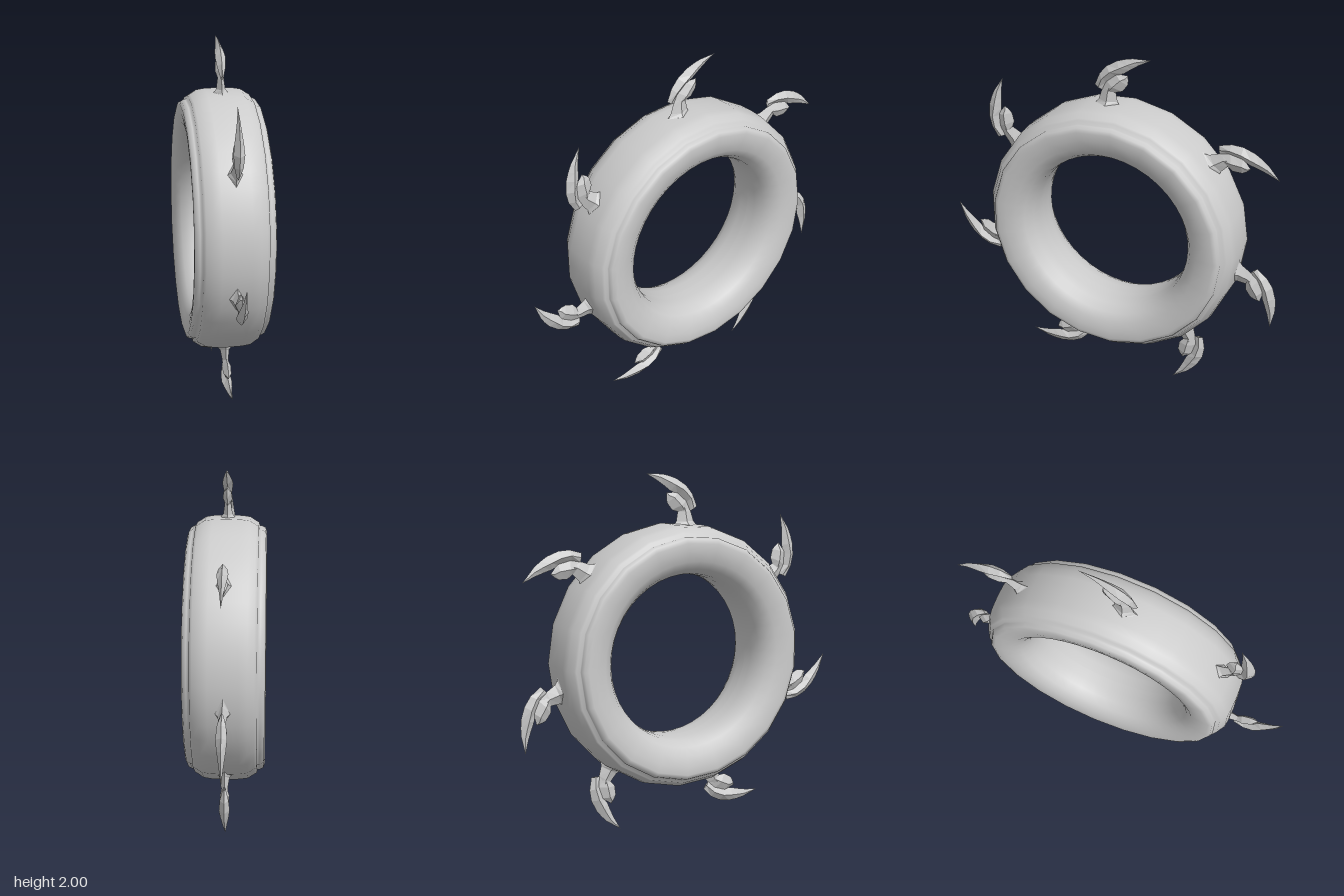
import * as THREE from 'three';

const SEGMENTS = 21;
const smooth = new THREE.MeshStandardMaterial({ color: 0xcccccc, side: THREE.DoubleSide });
const faceted = new THREE.MeshStandardMaterial({ color: 0xcccccc, flatShading: true, side: THREE.DoubleSide });

// Half of the ring section: [radius, distance from the middle], bore to tread
const HALF = [
  [0.465, 0], [0.466, 0.06], [0.475, 0.12], [0.505, 0.17], [0.55, 0.202], [0.61, 0.214],
  [0.655, 0.218], [0.678, 0.21], [0.688, 0.19], [0.688, 0.178], [0.708, 0.174], [0.715, 0.16],
  [0.738, 0.125], [0.745, 0.08], [0.748, 0],
];

function makeRing() {
  const down = HALF.map(([r, h]) => new THREE.Vector2(r, -h));
  const up = HALF.slice(0, -1).reverse().map(([r, h]) => new THREE.Vector2(r, h));
  const geometry = new THREE.LatheGeometry([...down, ...up], SEGMENTS * 2);
  // Pull every second row in to the chord, keeping the coarse outer outline;
  // the bore stays rounder
  const p = geometry.attributes.position;
  const rows = HALF.length * 2 - 1;
  for (let i = 0; i < p.count; i++) {
    if (Math.floor(i / rows) % 2 === 0) continue;
    const r = Math.hypot(p.getX(i), p.getZ(i));
    const k = r > 0.6 ? Math.cos(Math.PI / SEGMENTS) : 1;
    p.setX(i, p.getX(i) * k);
    p.setZ(i, p.getZ(i) * k);
  }
  geometry.rotateZ(Math.PI / 2);
  const ring = new THREE.Mesh(geometry, smooth);
  ring.name = 'ring';
  ring.rotation.x = Math.PI / SEGMENTS;
  return ring;
}

// Loft of diamond sections: [outer a, outer b, inner a, inner b, half thickness],
// a runs along the ring (towards -z), b runs away from its centre
function loft(name, sections) {
  const pos = [], index = [];
  sections.forEach(([oa, ob, ia, ib, t], i) => {
    const ma = (oa + ia) / 2, mb = (ob + ib) / 2;
    pos.push(0, ob, -oa, t, mb, -ma, 0, ib, -ia, -t, mb, -ma);
    if (i === 0) return;
    for (let j = 0; j < 4; j++) {
      const a = (i - 1) * 4 + j, b = (i - 1) * 4 + (j + 1) % 4;
      index.push(a, b, b + 4, a, b + 4, a + 4);
    }
  });
  const geometry = new THREE.BufferGeometry();
  geometry.setAttribute('position', new THREE.Float32BufferAttribute(pos, 3));
  geometry.setIndex(index);
  geometry.computeVertexNormals();
  const mesh = new THREE.Mesh(geometry, faceted);
  mesh.name = name;
  return mesh;
}

function makeClaw() {
  const claw = new THREE.Group();
  claw.name = 'claw';
  claw.add(
    // Stem flaring into the tread
    loft('clawStem', [
      [-0.22, 0.70, 0.11, 0.71, 0.09],
      [-0.125, 0.735, 0.015, 0.738, 0.04],
      [-0.108, 0.755, 0.003, 0.755, 0.026],
      [-0.09, 0.81, -0.006, 0.81, 0.018],
      [-0.07, 0.835, -0.01, 0.83, 0.018],
    ]),
    // Long curved blade
    loft('clawBlade', [
      [-0.13, 0.836, -0.086, 0.81, 0.008],
      [-0.102, 0.905, -0.06, 0.86, 0.024],
      [-0.06, 0.954, -0.005, 0.905, 0.03],
      [0, 0.992, 0.04, 0.925, 0.024],
      [0.045, 1.008, 0.078, 0.953, 0.017],
      [0.09, 1.019, 0.125, 0.985, 0.01],
      [0.195, 1.024, 0.195, 1.024, 0],
    ]),
    // Short inner lobe
    loft('clawLobe', [
      [-0.088, 0.812, -0.008, 0.808, 0.014],
      [-0.064, 0.87, 0.03, 0.82, 0.026],
      [-0.01, 0.918, 0.062, 0.86, 0.022],
      [0.04, 0.917, 0.066, 0.885, 0.01],
      [0.064, 0.917, 0.064, 0.917, 0],
    ]),
  );
  return claw;
}

export function createModel() {
  const model = new THREE.Group();
  model.name = 'clawedRing';
  model.add(makeRing());
  // Seven claws, the last gap slightly narrower
  for (let i = 0; i < 7; i++) {
    const claw = makeClaw();
    claw.rotation.x = -THREE.MathUtils.degToRad(148.6 + 52.8 * i);
    model.add(claw);
  }
  model.position.set(0, 0.98, -0.03);
  const root = new THREE.Group();
  root.add(model);
  return root;
}
